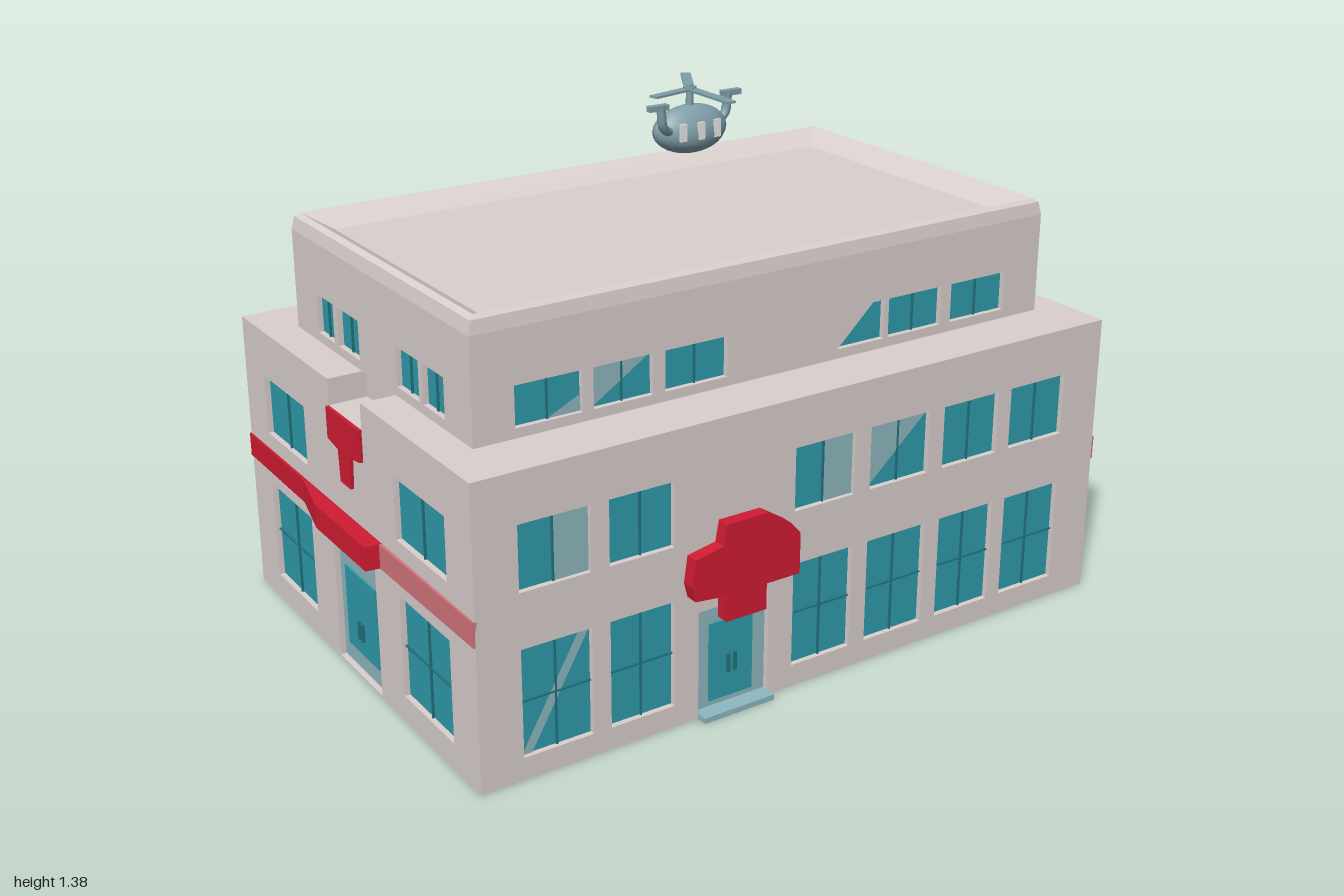
import * as THREE from 'three';

const mat = (name, color, double) => {
  const m = new THREE.MeshStandardMaterial({ color });
  m.name = name;
  if (double) m.side = THREE.DoubleSide;
  return m;
};

export function createModel() {
  const wall = mat('wall', 0xdad0cd);
  const glass = mat('glass', 0x2f9bab, true);
  const paleGlass = mat('paleGlass', 0x8fb8c0, true);
  const mullion = mat('mullion', 0x23727f);
  const red = mat('red', 0xd01c32);
  const pink = mat('pink', 0xd4747c);
  const heliBlue = mat('helicopterBlue', 0x7f9fa9);
  const pale = mat('paleWindow', 0xe8e8e8);
  const root = new THREE.Group();
  root.name = 'hospital';

  const add = (parent, name, geo, material, x = 0, y = 0, z = 0) => {
    const m = new THREE.Mesh(geo, material);
    m.name = name;
    m.position.set(x, y, z);
    parent.add(m);
    return m;
  };
  const box = (parent, name, material, x0, x1, y0, y1, z0, z1) =>
    add(parent, name, new THREE.BoxGeometry(x1 - x0, y1 - y0, z1 - z0), material,
      (x0 + x1) / 2, (y0 + y1) / 2, (z0 + z1) / 2);
  const poly = (pts) => new THREE.Shape(pts.map(([x, y]) => new THREE.Vector2(x, y)));
  const slab = (pts, depth) => new THREE.ExtrudeGeometry(poly(pts), { depth, bevelEnabled: false });

  // Pane outlines in unit coordinates; damaged panes are cut down
  const FULL = [[0, 0], [1, 0], [1, 1], [0, 1]];
  const POINTED = [[0.5, 0], [1, 0.45], [1, 1], [0, 1], [0, 0.35]];
  const LOWTRI = [[0, 0], [1, 0], [1, 1], [0.75, 1]];
  const TOPTRI = [[0, 1], [1, 0.15], [1, 1]];
  const CUT = [[0.45, 0], [1, 0], [1, 1], [0.2, 1], [0, 0.7]];
  const fit = (w) => (w.shape || FULL).map(([u, v]) =>
    [w.x0 + u * (w.x1 - w.x0), w.y0 + v * (w.y1 - w.y0)]);

  const T = 0.02;
  // Wall facade with cut openings and recessed panes, facing local +z
  function facade(name, angle, dist, halfW, y0, y1, windows, door) {
    const g = new THREE.Group();
    g.name = name;
    g.rotation.y = angle;
    g.position.set(Math.sin(angle) * dist, 0, Math.cos(angle) * dist);
    const shape = poly([[-halfW, y0], [halfW, y0], [halfW, y1], [-halfW, y1]]);
    for (const w of windows) {
      shape.holes.push(poly(fit(w)));
      add(g, 'windowPane', new THREE.ShapeGeometry(poly(fit(w))), glass, 0, 0, 0.005);
      if (w.pale) {
        const part = { ...w, shape: w.pale };
        add(g, 'paleReflection', new THREE.ShapeGeometry(poly(fit(part))), paleGlass, 0, 0, 0.008);
      }
      if (!w.shape) {
        const cx = (w.x0 + w.x1) / 2, cy = (w.y0 + w.y1) / 2;
        box(g, 'mullion', mullion, cx - 0.002, cx + 0.002, w.y0, w.y1, 0.004, 0.011);
        if (w.y1 - w.y0 > 0.2) box(g, 'crossbar', mullion, w.x0, w.x1, cy - 0.002, cy + 0.002, 0.004, 0.011);
      }
    }
    if (door) {
      const { x0, x1, h, gx, g0, g1 } = door, c = (x0 + x1) / 2;
      shape.holes.push(poly([[x0, 0.004], [x1, 0.004], [x1, h], [x0, h]]));
      add(g, 'doorFrame', new THREE.ShapeGeometry(poly([[x0, 0], [x1, 0], [x1, h], [x0, h]])), paleGlass, 0, 0, 0.004);
      box(g, 'doorGlass', glass, c - gx, c + gx, g0, g1, 0.003, 0.009);
      for (const s of [-1, 1]) box(g, 'doorHandle', mullion, c + s * 0.01 - 0.004, c + s * 0.01 + 0.004, 0.1, 0.15, 0.008, 0.016);
    }
    add(g, 'wallFace', new THREE.ExtrudeGeometry(shape, { depth: T, bevelEnabled: false }), wall);
    root.add(g);
    return g;
  }

  // Window layouts: columns, then rows
  const colsX = [[-0.84, -0.65], [-0.6, -0.42], [-0.065, 0.12], [0.17, 0.36], [0.41, 0.595], [0.64, 0.83]];
  const topX = [[-0.75, -0.57], [-0.54, -0.375], [-0.34, -0.16], [0.18, 0.33], [0.345, 0.52], [0.555, 0.74]];
  const row = (cols, y0, y1, extra = {}) =>
    cols.map(([x0, x1], i) => ({ x0, x1, y0, y1, ...extra[i] })).filter((w) => !w.skip);
  const half = [[0.5, 0], [1, 0], [1, 1], [0.5, 1]];
  const upperLeft = [[0, 0], [1, 1], [0, 1]];

  // Main block
  box(root, 'mainCore', wall, -0.935, 0.935, 0, 0.72, -0.63, 0.63);
  const front = facade('frontFacade', 0, 0.63, 0.955, 0, 0.72, [
    ...row(colsX, 0.06, 0.345, { 0: { pale: [[0, 0], [0.15, 0], [1, 1], [0.85, 1]] } }),
    ...row(colsX, 0.49, 0.66, { 0: { pale: half }, 2: { pale: half }, 3: { pale: upperLeft } }),
  ], { x0: -0.35, x1: -0.14, h: 0.295, gx: 0.065, g0: 0.03, g1: 0.245 });
  box(front, 'doorStep', paleGlass, -0.35, -0.14, 0, 0.015, 0.005, 0.05);
  const back = facade('backFacade', Math.PI, 0.63, 0.955, 0, 0.72, [
    ...row(colsX, 0.06, 0.345, { 2: { shape: POINTED }, 3: { skip: true }, 4: { shape: CUT } }),
    ...row(colsX, 0.49, 0.66, { 2: { shape: POINTED }, 3: { shape: TOPTRI }, 4: { shape: TOPTRI } }),
  ]);
  add(back, 'doorRemnant', new THREE.ShapeGeometry(poly([[-0.35, 0.12], [-0.2, 0.28], [-0.35, 0.28]])), glass, 0, 0, T + 0.003);
  box(back, 'doorCanopy', wall, -0.26, -0.15, 0.1, 0.26, T, T + 0.025);

  const sideZ = [[-0.52, -0.26], [0.26, 0.52]];
  const sideDoor = { x0: -0.125, x1: 0.125, h: 0.38, gx: 0.088, g0: 0.055, g1: 0.28 };
  const sides = [1, -1].map((s) => facade(s > 0 ? 'leftFacade' : 'rightFacade', s * Math.PI / 2, 0.935, 0.63, 0, 0.72,
    [...row(sideZ, 0.07, 0.345), ...row(sideZ, 0.495, 0.66)], sideDoor));

  // Terrace slab with a notch over each side cross
  const q = [[0.955, -0.65], [0.955, -0.095], [0.85, -0.095], [0.85, 0.095], [0.955, 0.095], [0.955, 0.65]];
  const terrace = slab([...q, ...q.map(([x, z]) => [-x, -z])], 0.07);
  terrace.rotateX(-Math.PI / 2);
  add(root, 'terrace', terrace, wall, 0, 0.72, 0);

  // Upper block
  box(root, 'upperCore', wall, -0.84, 0.84, 0.79, 1.06, -0.47, 0.47);
  facade('upperFront', 0, 0.47, 0.86, 0.79, 1.06,
    row(topX, 0.815, 0.92, { 0: { pale: [[0.5, 0], [1, 0], [1, 0.4]] }, 1: { pale: upperLeft }, 3: { shape: LOWTRI } }));
  facade('upperBack', Math.PI, 0.47, 0.86, 0.79, 1.06,
    row(topX, 0.815, 0.92, { 0: { shape: TOPTRI }, 1: { shape: CUT }, 3: { shape: LOWTRI }, 4: { shape: TOPTRI } }));
  const topZ = [[-0.355, -0.255], [-0.23, -0.105], [0.105, 0.225], [0.245, 0.355]];
  for (const s of [1, -1])
    facade(s > 0 ? 'upperLeft' : 'upperRight', s * Math.PI / 2, 0.84, 0.47, 0.79, 1.06, row(topZ, 0.815, 0.92));

  // Parapet: rectangular loops rising over the rim and down to the roof
  const loops = [[0.86, 0.49, 1.06], [0.853, 0.485, 1.095], [0.84, 0.475, 1.105], [0.775, 0.408, 1.065]]
    .map(([w, d, y]) => [[-w, y, d], [w, y, d], [w, y, -d], [-w, y, -d]]);
  const pos = [];
  const quad = (a, b, c, d) => pos.push(...a, ...b, ...c, ...a, ...c, ...d);
  for (let i = 0; i + 1 < loops.length; i++)
    for (let k = 0; k < 4; k++) {
      const n = (k + 1) % 4;
      quad(loops[i][k], loops[i][n], loops[i + 1][n], loops[i + 1][k]);
    }
  quad(...loops[loops.length - 1]);
  const rim = new THREE.BufferGeometry();
  rim.setAttribute('position', new THREE.Float32BufferAttribute(pos, 3));
  rim.computeVertexNormals();
  add(root, 'parapetRoof', rim, wall);

  // Large crosses on front and back, with chamfered upper corners
  const cross = [[-0.06, -0.13], [0.06, -0.13], [0.06, -0.06], [0.16, -0.06], [0.16, 0.05], [0.13, 0.085],
    [0.06, 0.13], [-0.06, 0.13], [-0.07, 0.075], [-0.15, 0.06], [-0.16, -0.01], [-0.15, -0.05], [-0.06, -0.06]];
  for (const g of [front, back]) {
    add(g, 'wallCross', slab(cross, 0.035), red, -0.24, 0.405, 0.03);
    box(g, 'crossMount', wall, -0.28, -0.2, 0.36, 0.45, T, 0.03);
  }
  // Side crosses below the notches
  const tee = [[-0.03, 0.54], [0.03, 0.54], [0.035, 0.625], [0.095, 0.635], [0.095, 0.72], [-0.095, 0.72], [-0.095, 0.635], [-0.035, 0.625]];
  for (const g of sides) add(g, 'sideCross', slab(tee, 0.009), red, 0, 0, T);

  // Side stripes, bulging out above the doors
  const stripe = (name, s, z0, z1, material) => {
    const bulge = [[-0.65, 0.96], [-0.28, 0.963], [-0.12, 1], [0.17, 1], [0.175, 0.963], [0.65, 0.96]]
      .filter(([z]) => z >= z0 && z <= z1);
    const outer = bulge.map(([z, x]) => [s * x, -z]);
    const geo = slab([[s * 0.95, -bulge[0][0]], ...outer, [s * 0.95, -bulge[bulge.length - 1][0]]], 0.065);
    geo.rotateX(-Math.PI / 2);
    add(root, name, geo, material, 0, 0.385, 0);
  };
  stripe('leftStripe', 1, -0.65, 0.65, pink);
  stripe('rightStripe', -1, -0.65, 0.175, red);
  stripe('rightStripeEnd', -1, 0.174, 0.65, pink);

  // Helicopter hovering over the roof
  const heli = new THREE.Group();
  heli.name = 'helicopter';
  heli.position.set(0.17, 1.255, -0.165);
  root.add(heli);
  const hull = new THREE.SphereGeometry(1, 20, 14);
  const p = hull.attributes.position;
  for (let i = 0; i < p.count; i++) {
    const y = p.getY(i), k = 1 - 0.2 * y;
    p.setXYZ(i, p.getX(i) * 0.115, y * 0.067, p.getZ(i) * 0.058 * k);
  }
  hull.computeVertexNormals();
  add(heli, 'fuselage', hull, heliBlue);
  for (const x of [-0.055, 0, 0.055])
    for (const s of [-1, 1]) box(heli, 'cabinWindow', pale, x - 0.01, x + 0.01, -0.02, 0.028, s * (x ? 0.052 : 0.057) - 0.004, s * (x ? 0.052 : 0.057) + 0.004);
  for (const s of [-1, 1]) {
    const z = s < 0 ? 0.05 : 0;
    const arm = new THREE.CatmullRomCurve3([new THREE.Vector3(s * 0.07, 0, z * 0.4),
      new THREE.Vector3(s * 0.115, 0.025, z * 0.9), new THREE.Vector3(s * 0.125, 0.085, z)]);
    add(heli, 'tailPost', new THREE.TubeGeometry(arm, 8, 0.013, 8), heliBlue);
    box(heli, 'tailFin', heliBlue, s * 0.135 - 0.03, s * 0.135 + 0.03, 0.075, 0.09, z - 0.01, z + 0.01);
  }
  add(heli, 'mast', new THREE.CylinderGeometry(0.009, 0.012, 0.06, 10), heliBlue, 0, 0.09, 0);
  add(heli, 'rotorHub', new THREE.CylinderGeometry(0.018, 0.018, 0.014, 12), heliBlue, 0, 0.108, 0);
  for (const [a, len] of [[-Math.PI / 2, 0.195], [Math.PI * 0.33, 0.19], [Math.PI * 1.07, 0.14]]) {
    const blade = new THREE.BoxGeometry(len, 0.006, 0.028);
    blade.translate(len / 2, 0, 0);
    add(heli, 'rotorBlade', blade, heliBlue, 0, 0.108, 0).rotation.y = a;
  }
  return root;
}
